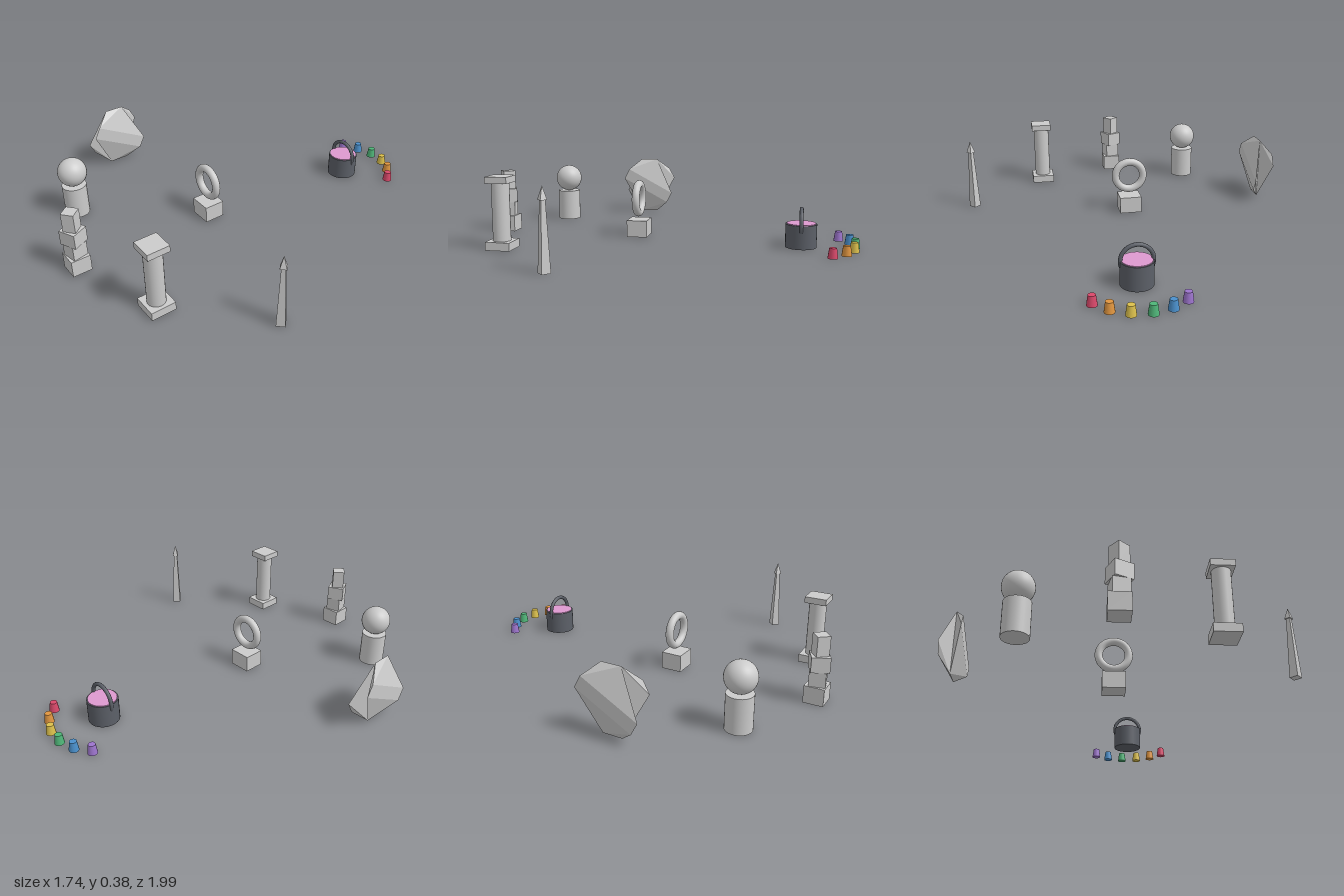
import * as THREE from 'three';

const material = (color = 0xcccccc, flatShading = false) =>
  new THREE.MeshStandardMaterial({ color, flatShading });
const grey = material();
const greyFlat = material(0xcccccc, true);

function add(parent, name, geometry, mat, x = 0, y = 0, z = 0) {
  const mesh = new THREE.Mesh(geometry, mat);
  mesh.name = name;
  mesh.position.set(x, y, z);
  parent.add(mesh);
  return mesh;
}

function place(root, name, x, z) {
  const group = new THREE.Group();
  group.name = name;
  group.position.set(x, 0, z);
  root.add(group);
  return group;
}

// Slab lying along x, its cross-section turning from one end to the other
function twistedSlab() {
  const geometry = new THREE.BoxGeometry(0.1, 2, 2, 2, 1, 1);
  const p = geometry.attributes.position;
  for (let i = 0; i < p.count; i++) {
    const t = p.getX(i) / 0.05;
    const angle = THREE.MathUtils.degToRad(62) * t;
    const y = p.getY(i) * (0.17 - 0.01 * Math.abs(t));
    const z = p.getZ(i) * (0.05 - 0.016 * Math.abs(t));
    p.setY(i, y * Math.cos(angle) - z * Math.sin(angle));
    p.setZ(i, y * Math.sin(angle) + z * Math.cos(angle));
  }
  const flat = geometry.toNonIndexed();
  flat.computeVertexNormals();
  return flat;
}

export function createModel() {
  const root = new THREE.Group();
  root.name = 'sculptureGarden';

  // Twisted slab
  const twist = place(root, 'twistedSculpture', -0.82, 0.287);
  add(twist, 'twistedSlab', twistedSlab(), greyFlat, 0, 0.174, 0);

  // Ball on a round plinth
  const ball = place(root, 'ballSculpture', -0.48, 0.726);
  add(ball, 'roundPlinth', new THREE.CylinderGeometry(0.065, 0.065, 0.175, 32), grey, 0, 0.0875, 0);
  add(ball, 'ball', new THREE.SphereGeometry(0.077, 32, 20), grey, 0, 0.252, 0);

  // Stack of turned blocks: width, height, turn
  const stack = place(root, 'blockStack', -0.045, 0.935);
  let base = 0;
  [[0.1, 0.088, 0], [0.08, 0.075, 0.2], [0.09, 0.077, 0.45], [0.064, 0.1, 0.7]]
    .forEach(([w, h, turn], i) => {
      const block = add(stack, `block${i + 1}`, new THREE.BoxGeometry(w, h, w), grey, 0, base + h / 2, 0);
      block.rotation.y = turn;
      base += h;
    });

  // Ring on a square plinth
  const ring = place(root, 'ringSculpture', -0.032, 0.17);
  add(ring, 'squarePlinth', new THREE.BoxGeometry(0.12, 0.09, 0.11), grey, 0, 0.045, 0);
  add(ring, 'ring', new THREE.TorusGeometry(0.078, 0.021, 16, 40), grey, 0, 0.205, 0);

  // Column
  const column = place(root, 'column', 0.418, 0.77);
  add(column, 'columnBase', new THREE.BoxGeometry(0.127, 0.042, 0.127), grey, 0, 0.021, 0);
  add(column, 'columnShaft', new THREE.CylinderGeometry(0.045, 0.045, 0.294, 24), grey, 0, 0.189, 0);
  add(column, 'columnCap', new THREE.BoxGeometry(0.114, 0.033, 0.114), grey, 0, 0.351, 0);

  // Four-sided obelisk
  const obelisk = place(root, 'obelisk', 0.835, 0.385);
  add(obelisk, 'obeliskShaft', new THREE.CylinderGeometry(0.014, 0.031, 0.325, 4), greyFlat, 0, 0.1625, 0);
  add(obelisk, 'obeliskTip', new THREE.ConeGeometry(0.023, 0.062, 4), greyFlat, 0, 0.354, 0);

  // Pot with its filling and hoop handle
  const pot = place(root, 'pot', 0.095, -0.705);
  const dark = material(0x5c6068);
  add(pot, 'potBody', new THREE.CylinderGeometry(0.079, 0.079, 0.12, 32), dark, 0, 0.06, 0);
  add(pot, 'potFilling', new THREE.CylinderGeometry(0.073, 0.073, 0.01, 32), material(0xdd99d0), 0, 0.119, 0);
  add(pot, 'potHandle', new THREE.TorusGeometry(0.077, 0.01, 12, 40), dark, 0, 0.118, 0);

  // Coloured cups in an arc behind the pot
  const cups = place(root, 'cups', 0.095, -0.705);
  [0xd9486a, 0xe0953f, 0xdcc04c, 0x4fb578, 0x4a90cc, 0x9c74cc].forEach((color, i) => {
    const angle = THREE.MathUtils.degToRad(33.8 + 20 * i);
    add(cups, `cup${i + 1}`, new THREE.CylinderGeometry(0.018, 0.025, 0.051, 20), material(color),
      0.27 * Math.cos(angle), 0.0255, -0.27 * Math.sin(angle));
  });

  return root;
}
